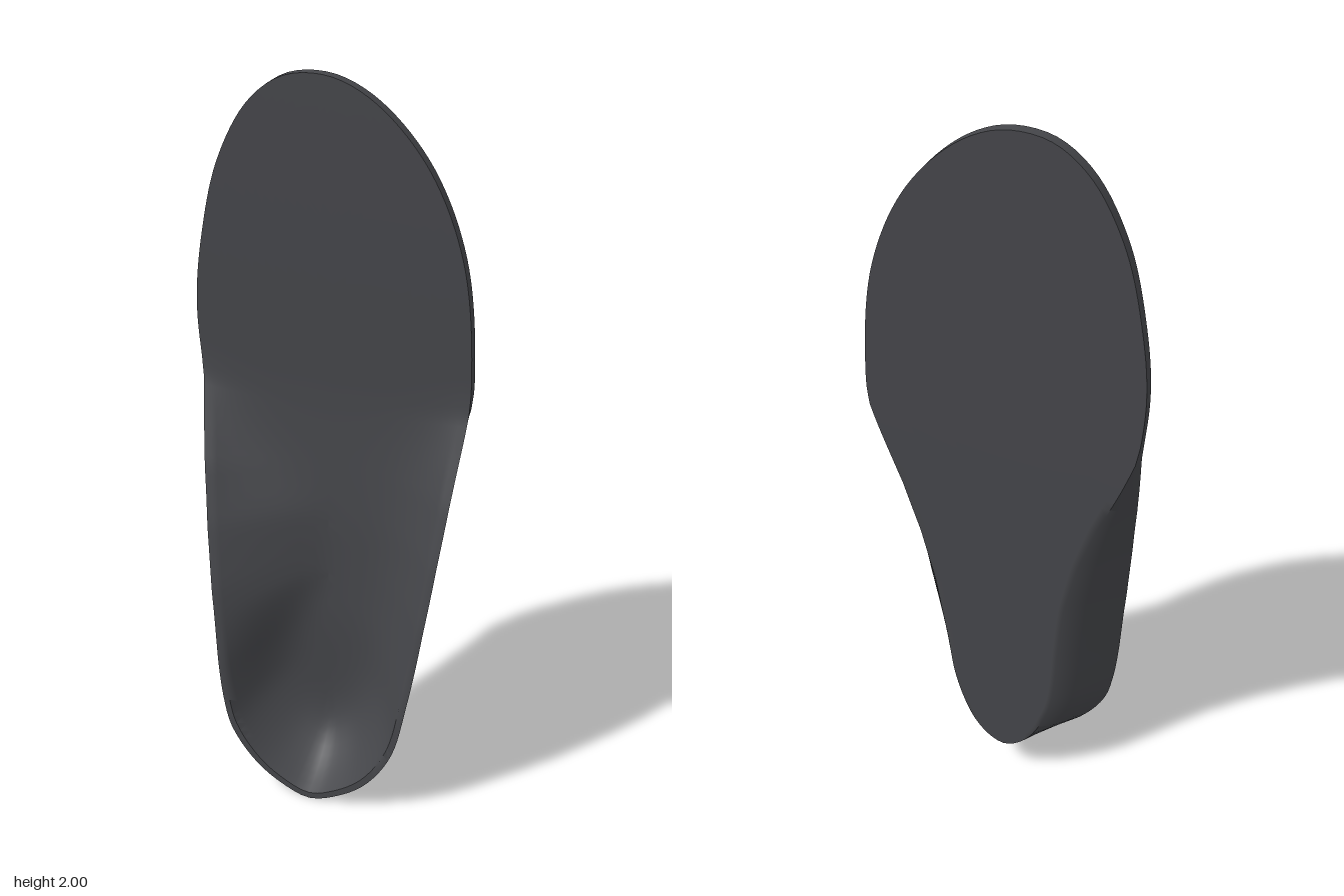
import * as THREE from 'three';
import { toCreasedNormals } from 'three/addons/utils/BufferGeometryUtils.js';

const { smoothstep, lerp } = THREE.MathUtils;
const BACK = -0.1, TOE = -0.07;

// Rim outline, counter-clockwise from the heel
const OUTLINE = [
  [0, 0], [0.09, 0.033], [0.165, 0.09], [0.235, 0.2], [0.275, 0.37], [0.317, 0.65], [0.354, 1.0],
  [0.371, 1.25], [0.34, 1.57], [0.25, 1.79], [0.127, 1.93], [0.02, 1.99], [-0.07, 2.0], [-0.145, 1.98],
  [-0.227, 1.91], [-0.306, 1.76], [-0.352, 1.57], [-0.373, 1.37], [-0.352, 1.125], [-0.317, 0.86],
  [-0.285, 0.57], [-0.255, 0.28], [-0.228, 0.18], [-0.16, 0.085], [-0.085, 0.03],
];

// Rim height as [y, z]
const RIM = [[0, 0.1], [0.2, 0.1], [0.39, 0.095], [0.6, 0.08], [0.78, 0.052], [0.94, 0.013],
  [1.08, -0.035], [1.17, -0.064], [1.23, TOE], [2.1, TOE]];

function rimHeight(y) {
  const i = Math.max(1, RIM.findIndex((p) => p[0] >= y));
  const [a, b] = [RIM[i - 1], RIM[i]];
  return lerp(a[1], b[1], Math.max(0, (y - a[0]) / (b[0] - a[0])));
}

// Strength of the arch support along the length
const arch = (y) => smoothstep(y, 0.15, 0.55) * (1 - smoothstep(y, 0.75, 1.2));

// Move an outline point towards the spine: s = 1 is the rim, s = 0 the spine
function towardSpine(p, s, z) {
  const spineY = 1 + (p.y - 1) * 0.7;
  return new THREE.Vector3(p.x * s, lerp(spineY, p.y, s), z);
}

// Flat underside edge, drawn in where the wall is tall
function backScale(p) {
  const reach = Math.hypot(p.x, (p.y - 1) * 0.3);
  const side = smoothstep(Math.abs(p.x), 0.05, 0.27);
  const inset = (0.1 + 0.04 * side) * (rimHeight(p.y) - TOE) / (0.1 - TOE);
  return 1 - inset / reach;
}

// Cupped upper face: steep at the heel and outer side, gently sloped over the arch
function upperPoint(p, s) {
  const v = towardSpine(p, s, 0);
  const floor = TOE + 0.022 * arch(v.y);
  const inner = arch(p.y) * smoothstep(-p.x, 0, 0.25);
  const power = lerp(3.6, 1.3, inner);
  v.z = lerp(floor, rimHeight(p.y), Math.pow(Math.min(1, s / 0.94), power));
  return v;
}

function insoleGeometry() {
  const curve = new THREE.CatmullRomCurve3(OUTLINE.map(([x, y]) => new THREE.Vector3(x, y, 0)), true);
  const n = 180;
  const outline = curve.getSpacedPoints(n).slice(0, n);
  const rings = [];

  // Underside, from the spine outwards
  for (const f of [0, 0.35, 0.7, 0.92, 1]) {
    rings.push(outline.map((p) => towardSpine(p, f * backScale(p), BACK)));
  }
  // Side wall, flaring out to the rim
  for (const f of [0.35, 0.7, 1]) {
    rings.push(outline.map((p) => towardSpine(p, lerp(backScale(p), 1, f), lerp(BACK, rimHeight(p.y), f))));
  }
  // Upper face, from the lip back to the spine
  for (const s of [0.94, 0.9, 0.85, 0.8, 0.74, 0.68, 0.6, 0.52, 0.44, 0.35, 0.25, 0.12, 0]) {
    rings.push(outline.map((p) => upperPoint(p, s)));
  }

  const positions = rings.flat().flatMap((v) => [v.x, v.y, v.z]);
  const index = [];
  for (let r = 0; r < rings.length - 1; r++) {
    for (let i = 0; i < n; i++) {
      const j = (i + 1) % n;
      const a = r * n + i, b = r * n + j, c = b + n, d = a + n;
      index.push(a, b, c, a, c, d);
    }
  }
  const geometry = new THREE.BufferGeometry();
  geometry.setAttribute('position', new THREE.Float32BufferAttribute(positions, 3));
  geometry.setIndex(index);
  return toCreasedNormals(geometry, 1.1);
}

export function createModel() {
  const group = new THREE.Group();
  group.name = 'shoeInsole';
  const insole = new THREE.Mesh(insoleGeometry(), new THREE.MeshStandardMaterial({ color: 0x45464a }));
  insole.name = 'insole';
  group.add(insole);
  return group;
}
